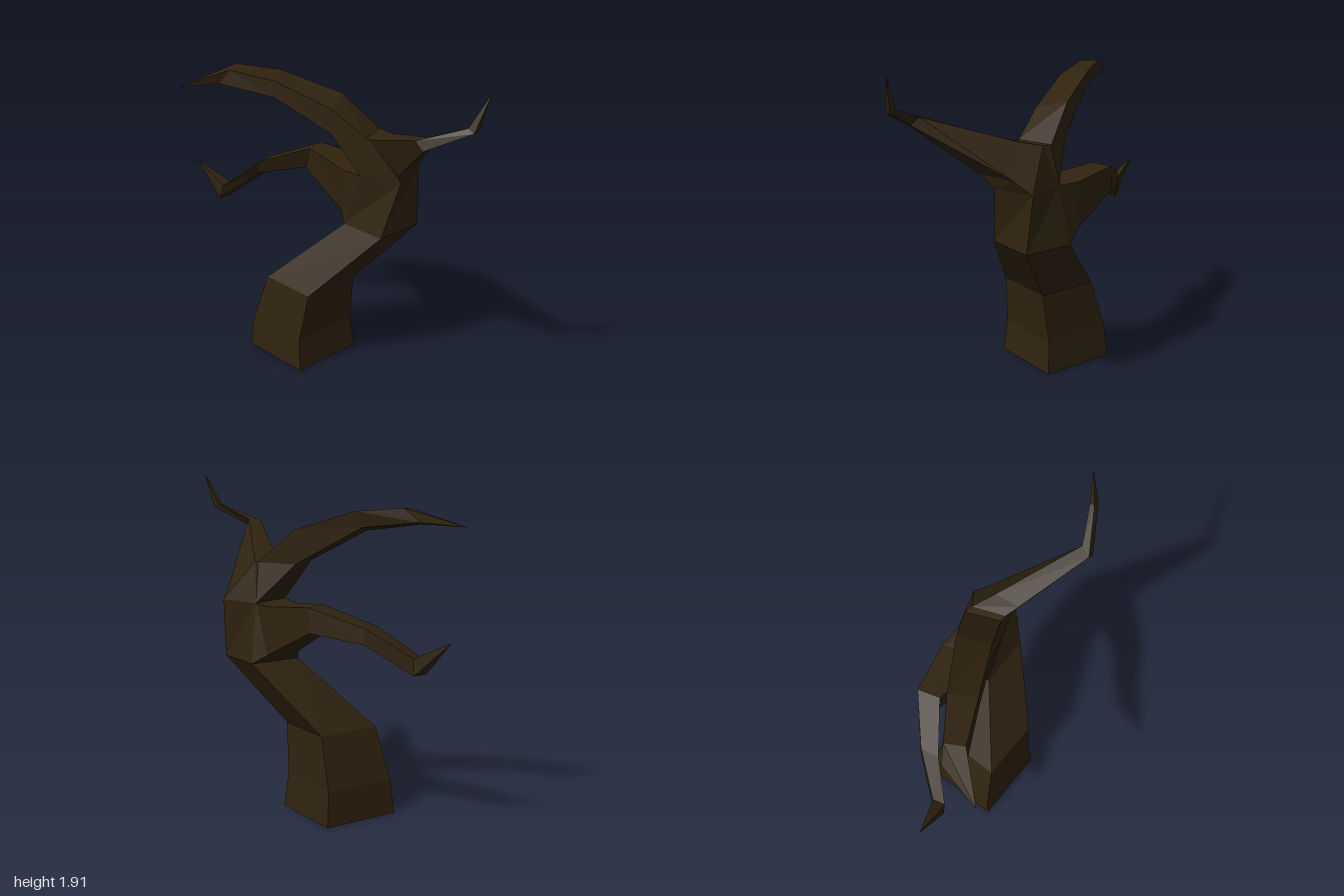
import * as THREE from 'three';

const bark = new THREE.MeshStandardMaterial({ color: 0x30230f });
bark.name = 'darkBark';

// Skins a run of four-cornered sections; a section of one point is a tip.
function loft(name, sections, capStart = false) {
  const pos = [];
  const tri = (a, b, c) => {
    if (a !== b && b !== c && a !== c) pos.push(...a, ...b, ...c);
  };
  const rings = sections.map(s => (s.length === 1 ? [s[0], s[0], s[0], s[0]] : s));
  for (let k = 0; k < rings.length - 1; k++) {
    const a = rings[k], b = rings[k + 1];
    for (let i = 0; i < 4; i++) {
      const j = (i + 1) % 4;
      tri(a[i], a[j], b[j]);
      tri(a[i], b[j], b[i]);
    }
  }
  if (capStart) {
    const [p, q, r, s] = rings[0];
    tri(p, r, q);
    tri(p, s, r);
  }
  const geo = new THREE.BufferGeometry();
  geo.setAttribute('position', new THREE.Float32BufferAttribute(pos, 3));
  geo.computeVertexNormals();
  const mesh = new THREE.Mesh(geo, bark);
  mesh.name = name;
  return mesh;
}

// Level trunk section: front right, back right, back left, front left
const level = (y, x0, x1, z0, z1) => [[x1, y, z1], [x1, y, z0], [x0, y, z0], [x0, y, z1]];

export function createModel() {
  const tree = new THREE.Group();
  tree.name = 'bareTree';

  // Trunk, leaning and twisting up to the fork
  const bend = level(0.88, 0, 0.305, -0.435, -0.125);
  const crown = [[0.365, 1.22, -0.22], [0.28, 1.22, -0.46], [0.04, 1.22, -0.38], [0.12, 1.22, -0.135]];
  tree.add(loft('trunk', [
    level(0, -0.475, -0.01, -0.23, 0.235),
    level(0.2, -0.455, -0.03, -0.21, 0.22),
    level(0.5, -0.36, 0.01, -0.195, 0.18),
    bend,
    crown,
  ], true));

  // Fork with both upper limbs, from one tip to the other
  // (sections: lower front, lower back, upper back, upper front)
  tree.add(loft('upperLimbs', [
    [[-0.8, 1.675, 0.455]],
    [[-0.65, 1.69, 0.27], [-0.74, 1.71, 0.18], [-0.66, 1.785, 0.13], [-0.6, 1.775, 0.23]],
    [[-0.35, 1.64, 0.11], [-0.46, 1.67, 0], [-0.44, 1.76, -0.03], [-0.34, 1.735, 0.1]],
    [[-0.04, 1.455, -0.055], [-0.13, 1.45, -0.22], [-0.13, 1.645, -0.23], [-0.04, 1.6, -0.06]],
    [crown[3], crown[2], [0.07, 1.45, -0.345], [0.15, 1.455, -0.15]],
    [crown[0], crown[1], [0.12, 1.45, -0.335], [0.19, 1.455, -0.15]],
    [[0.41, 1.295, -0.15], [0.35, 1.295, -0.38], [0.25, 1.48, -0.27], [0.27, 1.48, -0.12]],
    [[0.74, 1.575, 0.03], [0.76, 1.59, -0.01], [0.72, 1.635, -0.035], [0.69, 1.625, 0.035]],
    [[0.96, 1.695, -0.11], [0.96, 1.7, -0.15], [0.92, 1.72, -0.14], [0.92, 1.715, -0.11]],
    [[1, 1.91, -0.195]],
  ]));

  // Lower side branch with a hooked tip
  // (sections: lower back, lower front, upper front, upper back)
  tree.add(loft('lowerBranch', [
    [bend[2], bend[3], crown[3], crown[2]],
    [[-0.09, 0.94, -0.385], [-0.08, 0.94, -0.17], [-0.02, 1.21, -0.14], [-0.09, 1.22, -0.385]],
    [[-0.41, 1.11, -0.31], [-0.41, 1.11, -0.19], [-0.36, 1.25, -0.18], [-0.4, 1.25, -0.31]],
    [[-0.64, 1.06, -0.1], [-0.64, 1.06, 0], [-0.61, 1.145, 0.01], [-0.63, 1.15, -0.1]],
    [[-0.8, 0.895, 0.105], [-0.8, 0.895, 0.19], [-0.77, 0.985, 0.18], [-0.79, 0.99, 0.11]],
    [[-1, 1.1, 0.195]],
  ]));

  return tree;
}
